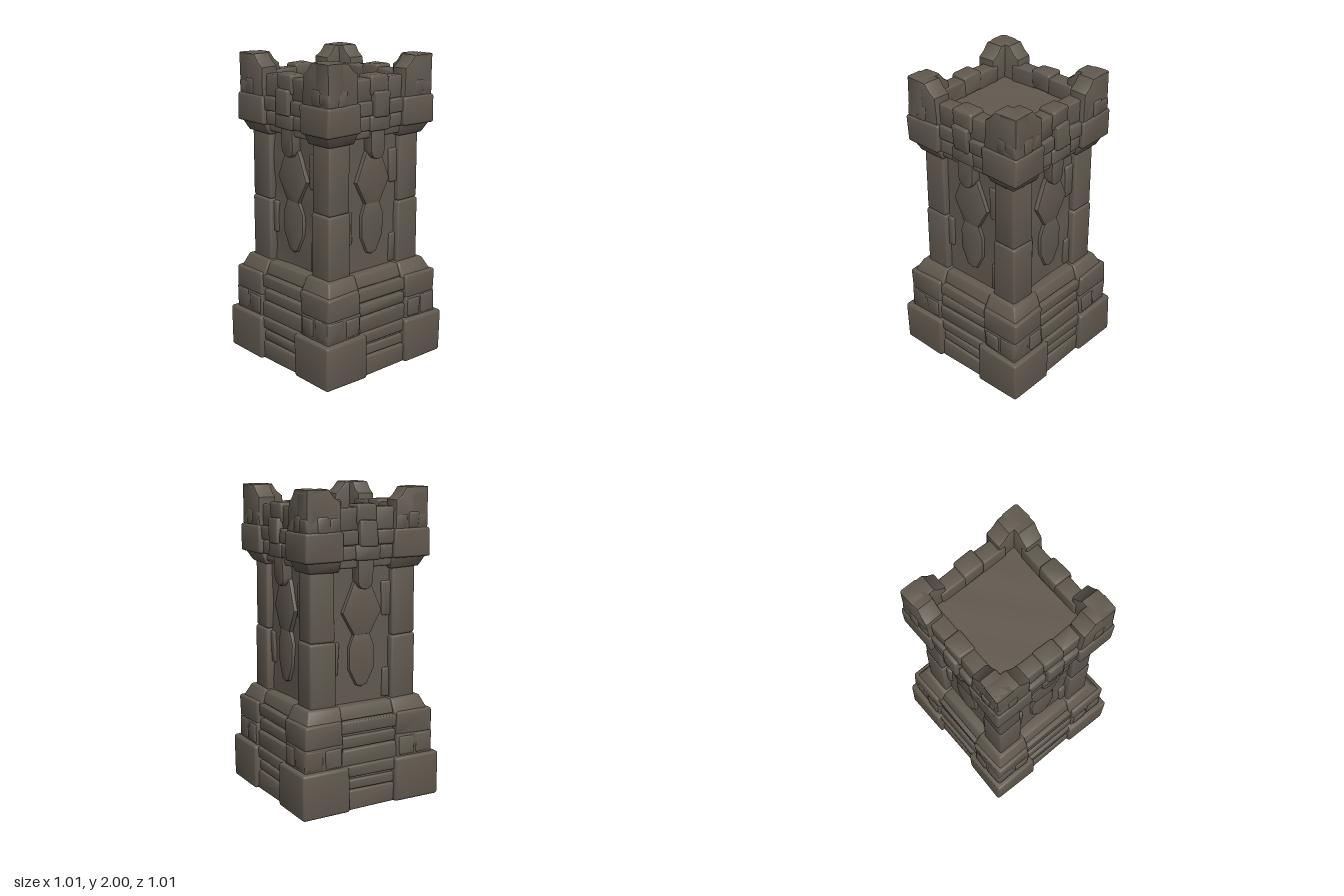
import * as THREE from 'three';
import { RoundedBoxGeometry } from 'three/addons/geometries/RoundedBoxGeometry.js';
import { toCreasedNormals } from 'three/addons/utils/BufferGeometryUtils.js';

const stone = new THREE.MeshStandardMaterial({ color: 0x625a50 });
stone.name = 'weathered stone';

// Smooth wobble that makes the masonry look hand-hewn
function weather(geo, amount) {
  const p = geo.attributes.position;
  for (let i = 0; i < p.count; i++) {
    const x = p.getX(i), y = p.getY(i), z = p.getZ(i);
    const dx = Math.sin(y * 17 + z * 11) * Math.cos(x * 13 + 1);
    const dy = Math.sin(x * 15 + z * 19 + 2);
    const dz = Math.sin(y * 16 + x * 12 + 4) * Math.cos(z * 14);
    const fixed = y < 0.03 || y > 1.96 ? 0 : 0.6;
    p.setXYZ(i, x + dx * amount, y + dy * amount * fixed, z + dz * amount);
  }
  return toCreasedNormals(geo, 0.6);
}

export function createModel() {
  const tower = new THREE.Group();
  tower.name = 'stoneTower';
  let turn = 0, side = tower;

  function add(name, geo, amount = 0.005) {
    geo.rotateY(turn);
    const mesh = new THREE.Mesh(weather(geo, amount), stone);
    mesh.name = name;
    side.add(mesh);
  }

  // Block given by its limits; shape(v, t) may bend it, with t = 0 at the bottom and 1 at the top
  function block(name, [x0, x1], [y0, y1], [z0, z1], radius = 0.012, shape = null) {
    const geo = new RoundedBoxGeometry(x1 - x0, y1 - y0, z1 - z0, 2, radius);
    geo.translate((x0 + x1) / 2, (y0 + y1) / 2, (z0 + z1) / 2);
    if (shape) {
      const p = geo.attributes.position, v = new THREE.Vector3();
      for (let i = 0; i < p.count; i++) {
        v.fromBufferAttribute(p, i);
        shape(v, (v.y - y0) / (y1 - y0));
        p.setXYZ(i, v.x, v.y, v.z);
      }
    }
    add(name, geo);
  }

  // Bevelled plate from an outline, lying between z0 and z1
  function plate(name, points, z0, z1, bevel = 0.01) {
    const shape = new THREE.Shape(points.map(([x, y]) => new THREE.Vector2(x, y)));
    const geo = new THREE.ExtrudeGeometry(shape, {
      depth: z1 - z0 - 2 * bevel, bevelThickness: bevel, bevelSize: bevel,
      bevelOffset: -bevel, bevelSegments: 2,
    });
    geo.translate(0, 0, z0 + bevel);
    add(name, geo.index ? geo.toNonIndexed() : geo, 0.004);
  }

  // Solid cores: plinth, steps, shaft and roof floor
  const core = (name, half, y0, y1, amount) => {
    const geo = new THREE.BoxGeometry(half * 2, y1 - y0, half * 2, 10, 10, 10);
    geo.translate(0, (y0 + y1) / 2, 0);
    add(name, geo.toNonIndexed(), amount);
  };
  core('plinthCore', 0.445, 0, 0.29, 0.002);
  core('stepCore', 0.41, 0.28, 0.6, 0.003);
  core('shaftWall', 0.335, 0.55, 1.58, 0.008);
  core('roofFloor', 0.385, 1.54, 1.78, 0.003);

  for (let k = 0; k < 4; k++) {
    turn = k * Math.PI / 2;
    side = new THREE.Group();
    side.name = 'towerSide' + (k + 1);
    tower.add(side);

    // Corner stones from plinth to parapet
    const corner = (name, a, b, y0, y1, r, shape) => block(name, [a, b], [y0, y1], [a, b], r, shape);
    corner('plinthCorner', 0.17, 0.502, 0, 0.292, 0.018);
    corner('lowerStepCorner', 0.2, 0.468, 0.28, 0.44);
    corner('upperStepCorner', 0.2, 0.468, 0.43, 0.585, 0.016);
    corner('slopedCap', 0.19, 0.455, 0.56, 0.665, 0.012, (v, t) => {
      if (v.x > 0.4) v.x -= 0.05 * t;
      if (v.z > 0.4) v.z -= 0.05 * t;
    });
    corner('lowerPillar', 0.205, 0.38, 0.65, 1.07, 0.016);
    corner('upperPillar', 0.21, 0.376, 1.07, 1.53, 0.016);
    corner('corniceCorner', 0.19, 0.425, 1.5, 1.575, 0.01, (v, t) => {
      if (v.x > 0.35) v.x -= 0.035 * (1 - t);
      if (v.z > 0.35) v.z -= 0.035 * (1 - t);
    });
    corner('parapetCorner', 0.18, 0.445, 1.568, 1.75, 0.016);

    // Plinth bands between the corners
    block('plinthFoot', [-0.19, 0.19], [0, 0.125], [0.38, 0.475]);
    block('plinthBand', [-0.19, 0.19], [0.13, 0.195], [0.38, 0.466]);
    block('plinthTop', [-0.19, 0.19], [0.215, 0.29], [0.38, 0.476]);

    // Stacked steps up to the shaft
    block('lowStep', [-0.22, 0.22], [0.285, 0.39], [0.34, 0.455]);
    block('middleStep', [-0.22, 0.22], [0.395, 0.47], [0.34, 0.442]);
    block('highStep', [-0.22, 0.22], [0.49, 0.572], [0.34, 0.45]);
    block('stepCap', [-0.22, 0.22], [0.575, 0.66], [0.3, 0.425], 0.012, (v, t) => {
      if (v.z > 0.38) v.z -= 0.03 * t;
    });

    // Small facing stones on the corners, mirrored
    for (const s of [-1, 1]) {
      const span = (a, b) => (s > 0 ? [a, b] : [-b, -a]);
      block('stepFacing', span(0.215, 0.325), [0.3, 0.42], [0.4, 0.477]);
      block('stepFacing', span(0.34, 0.462), [0.3, 0.43], [0.4, 0.472]);
      block('parapetFacing', span(0.2, 0.275), [1.745, 1.835], [0.33, 0.432]);
      block('parapetFacing', span(0.285, 0.36), [1.745, 1.845], [0.33, 0.438]);
      block('parapetFacing', span(0.365, 0.434), [1.745, 1.83], [0.33, 0.434]);
      block('parapetStone', span(0.065, 0.195), [1.66, 1.75], [0.32, 0.425]);
      block('parapetSill', span(0.075, 0.195), [1.57, 1.655], [0.32, 0.415]);
      block('parapetWall', span(0.05, 0.24), [1.745, 1.885], [0.3, 0.4]);
      // Raised corner merlon arm with a sloping shoulder
      plate('merlonArm', [[0.433, 1.74], [0.433, 2.0], [0.275, 2.0], [0.24, 1.955],
        [0.198, 1.925], [0.19, 1.74]].map(([x, y]) => [s * x, y]), 0.31, 0.433, 0.014);
    }

    // Middle of the parapet: lintel, keystone stack and small merlon
    block('lintel', [-0.2, 0.2], [1.52, 1.57], [0.3, 0.385]);
    block('keystoneFoot', [-0.085, 0.085], [1.565, 1.66], [0.32, 0.425]);
    block('keystone', [-0.06, 0.06], [1.65, 1.81], [0.32, 0.44]);
    block('middleMerlon', [-0.072, 0.072], [1.78, 1.905], [0.295, 0.415], 0.016);

    // Round-ended corbel under the keystone
    const corbel = [[0.058, 1.57], [-0.058, 1.57]];
    for (let i = 0; i <= 6; i++) {
      const a = Math.PI + (i / 6) * Math.PI;
      corbel.push([Math.cos(a) * 0.058, 1.44 + Math.sin(a) * 0.06]);
    }
    plate('corbel', corbel, 0.31, 0.4);

    // Carved shaft ornament: broad shield above a long pointed panel
    plate('upperShield', [[-0.06, 1.43], [0.06, 1.43], [0.14, 1.24], [0.06, 1.09],
      [-0.06, 1.09], [-0.14, 1.24]], 0.31, 0.362, 0.014);
    plate('lowerShield', [[-0.06, 1.1], [0.06, 1.1], [0.095, 1.02], [0.092, 0.88],
      [0.04, 0.77], [0, 0.755], [-0.04, 0.77], [-0.092, 0.88], [-0.095, 1.02]], 0.31, 0.358, 0.014);
    // Thin wall stones beside the pillars
    block('wallStone', [0.15, 0.22], [1.2, 1.42], [0.3, 0.35]);
    block('wallStone', [-0.22, -0.165], [0.85, 1.06], [0.3, 0.352]);
    block('wallStone', [0.16, 0.22], [0.67, 0.86], [0.3, 0.35]);
  }
  return tower;
}
